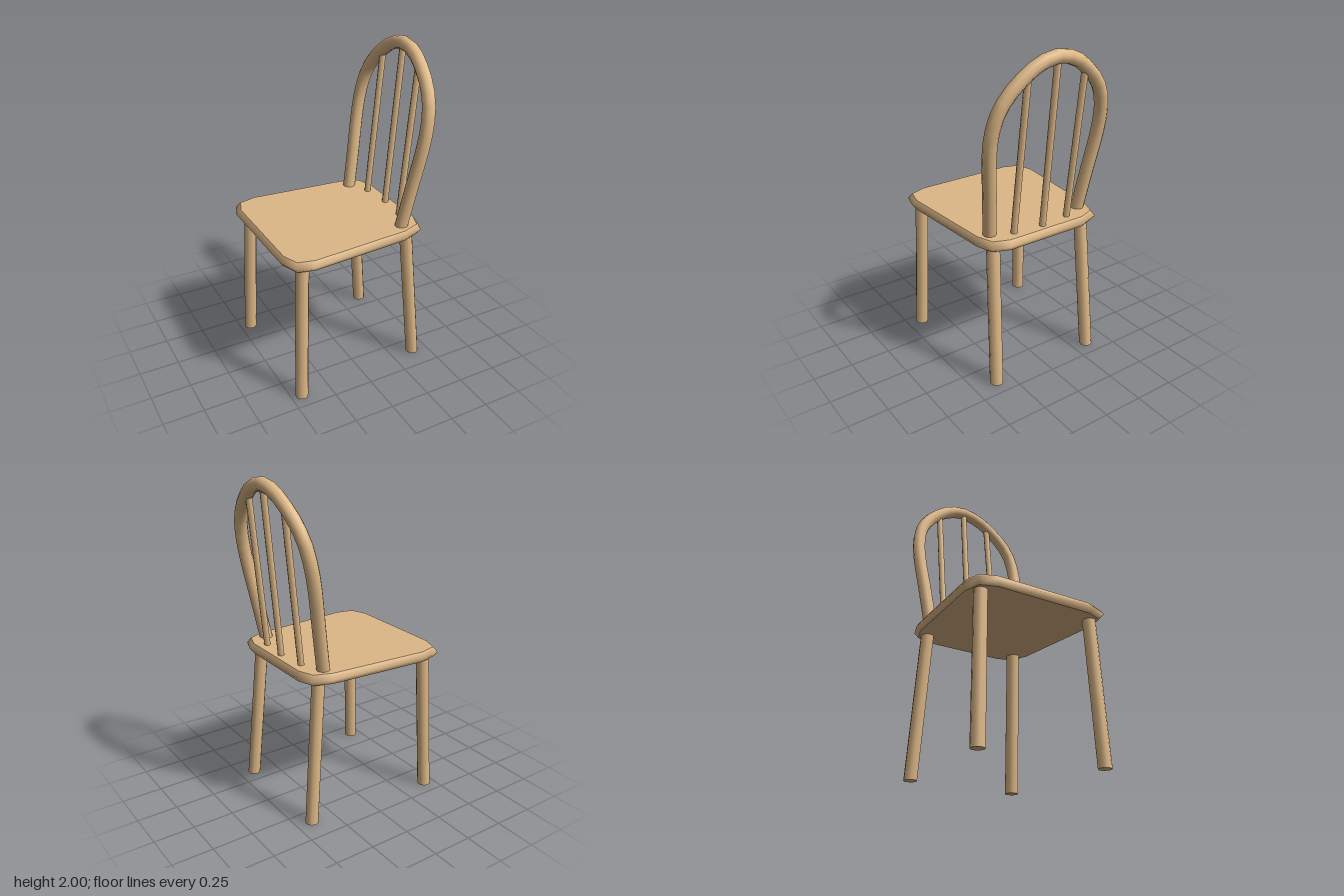
import * as THREE from 'three';

const wood = new THREE.MeshStandardMaterial({ color: 0xdeb887 });
const v = (x, y, z) => new THREE.Vector3(x, y, z);

// Round bar between two points, with level ends
function bar(name, bottom, top, radius, sides) {
  const h = top.y - bottom.y;
  const geo = new THREE.CylinderGeometry(radius, radius, h, sides);
  const shear = new THREE.Matrix4().set(
    1, (top.x - bottom.x) / h, 0, (top.x + bottom.x) / 2,
    0, 1, 0, (top.y + bottom.y) / 2,
    0, (top.z - bottom.z) / h, 1, (top.z + bottom.z) / 2,
    0, 0, 0, 1);
  geo.applyMatrix4(shear);
  const mesh = new THREE.Mesh(geo, wood);
  mesh.name = name;
  return mesh;
}

// Tapered seat with a pointed, softly shaded rim and flat faces
function seat() {
  const half = [[-0.508, 0.33], [-0.47, 0.435], [-0.36, 0.463], [0.29, 0.413], [0.4, 0.372], [0.438, 0.27]];
  const outline = [...half, ...half.map(([x, z]) => [x, -z]).reverse()];
  const n = outline.length;
  const pos = [];
  const index = [];
  const ring = (y, s) => outline.forEach(([x, z]) => pos.push(x * s, y, z * s));

  // Rim
  ring(0.885, 0.95);
  ring(0.917, 1);
  ring(0.95, 0.95);
  for (let r = 0; r < 2; r++) {
    for (let i = 0; i < n; i++) {
      const a = r * n + i;
      const b = r * n + (i + 1) % n;
      index.push(a, b, b + n, a, b + n, a + n);
    }
  }
  // Underside and top
  for (const [y, up] of [[0.885, false], [0.95, true]]) {
    const start = pos.length / 3;
    ring(y, 0.95);
    pos.push(0, y, 0);
    for (let i = 0; i < n; i++) {
      const a = start + i;
      const b = start + (i + 1) % n;
      index.push(start + n, up ? a : b, up ? b : a);
    }
  }
  const geo = new THREE.BufferGeometry();
  geo.setAttribute('position', new THREE.Float32BufferAttribute(pos, 3));
  geo.setIndex(index);
  geo.computeVertexNormals();
  const mesh = new THREE.Mesh(geo, wood);
  mesh.name = 'seat';
  return mesh;
}

// Bent back hoop lying in a plane that leans backwards
function hoop() {
  const lean = (y) => 0.292 + (y - 0.95) * 0.172;
  const side = [[0.315, 0.91], [0.345, 1.2], [0.373, 1.45], [0.372, 1.58], [0.345, 1.7],
    [0.29, 1.79], [0.215, 1.865], [0.12, 1.93]];
  const profile = [...side, [0, 1.96], ...side.map(([z, y]) => [-z, y]).reverse()];
  const curve = new THREE.CatmullRomCurve3(profile.map(([z, y]) => v(lean(y), y, z)));
  const mesh = new THREE.Mesh(new THREE.TubeGeometry(curve, 32, 0.04, 10), wood);
  mesh.name = 'backHoop';
  return mesh;
}

export function createModel() {
  const chair = new THREE.Group();
  chair.name = 'chair';
  chair.add(seat(), hoop());

  // Splayed legs
  for (const s of [1, -1]) {
    const label = s > 0 ? 'Left' : 'Right';
    chair.add(bar('front' + label + 'Leg', v(-0.433, 0, 0.403 * s), v(-0.397, 0.9, 0.375 * s), 0.04, 10));
    chair.add(bar('rear' + label + 'Leg', v(0.4, 0, 0.35 * s), v(0.325, 0.9, 0.318 * s), 0.04, 10));
  }

  // Back spindles, rising into the hoop
  for (const k of [-1, 0, 1]) {
    const x = k ? 0.352 : 0.37;
    const top = k ? v(0.452, 1.87, 0.19 * k - 0.01) : v(0.464, 1.95, -0.003);
    chair.add(bar('spindle', v(x, 0.92, 0.19 * k + 0.005), top, 0.02, 8));
  }
  return chair;
}
